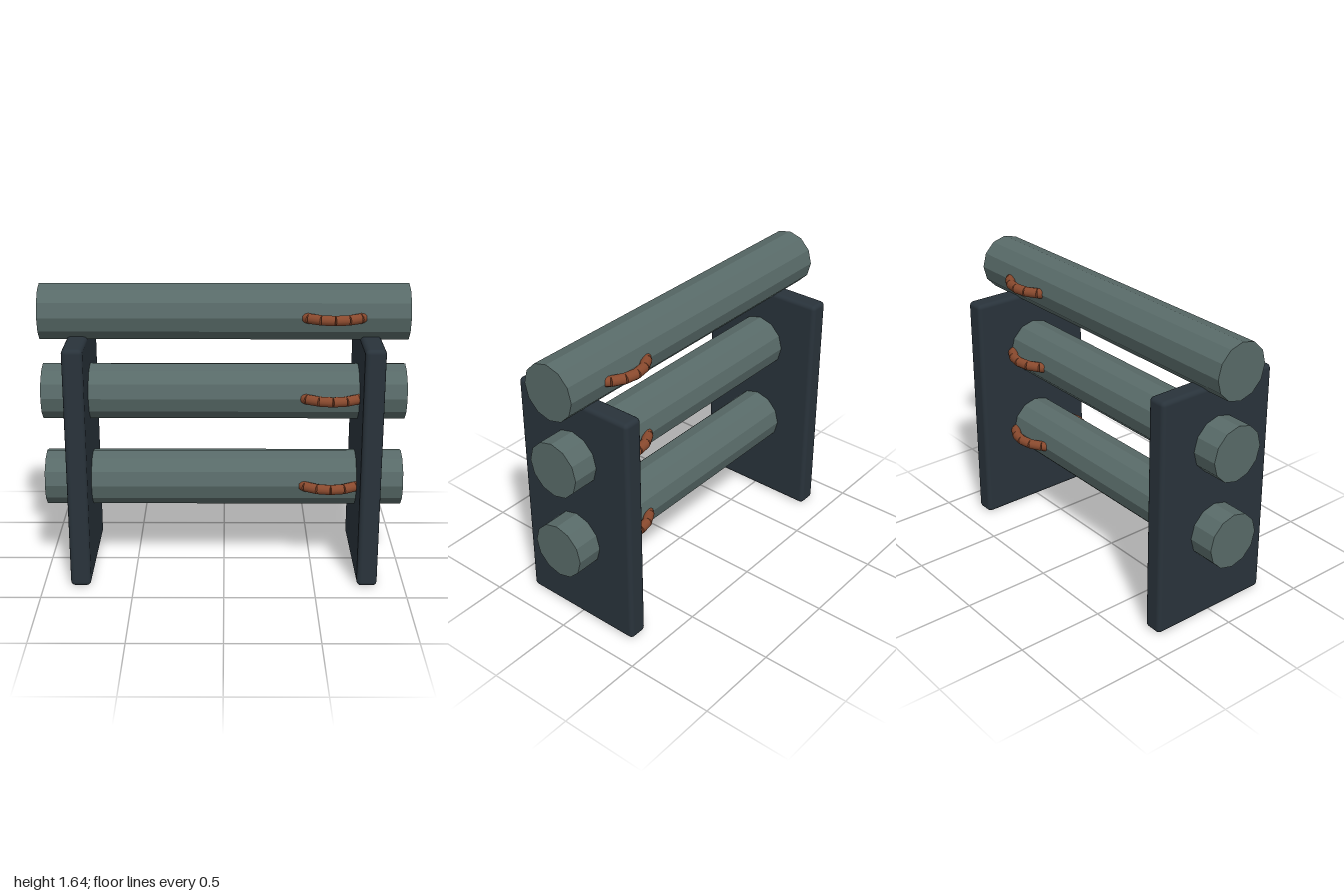
import * as THREE from 'three';
import { RoundedBoxGeometry } from 'three/addons/geometries/RoundedBoxGeometry.js';

const barMaterial = new THREE.MeshStandardMaterial({ color: 0x586a68, flatShading: true });
const panelMaterial = new THREE.MeshStandardMaterial({ color: 0x29333b });
const bandMaterial = new THREE.MeshStandardMaterial({ color: 0x8a4a2e });

function addMesh(parent, name, geometry, material) {
  const mesh = new THREE.Mesh(geometry, material);
  mesh.name = name;
  parent.add(mesh);
  return mesh;
}

// Horizontal ring of short straight links around a bar
function createBand(radius, thickness, count) {
  const band = new THREE.Group();
  band.name = 'band';
  const link = new THREE.CylinderGeometry(thickness, thickness, 0.073, 12);
  link.rotateZ(Math.PI / 2);
  for (let i = 0; i < count; i++) {
    const angle = ((i + 0.5) / count) * Math.PI * 2;
    const mesh = addMesh(band, 'bandLink', link, bandMaterial);
    mesh.position.set(Math.sin(angle) * radius, 0, Math.cos(angle) * radius);
    mesh.rotation.y = angle;
  }
  return band;
}

export function createModel() {
  const model = new THREE.Group();
  model.name = 'barrier';

  // Upright end panels
  const panel = new RoundedBoxGeometry(0.112, 1.364, 0.736, 2, 0.025);
  for (const [side, name] of [[1, 'leftPanel'], [-1, 'rightPanel']]) {
    addMesh(model, name, panel, panelMaterial).position.set(side * 0.795, 0.682, 0);
  }

  // Twelve-sided bars, each with a band near the left panel
  const bar = new THREE.CylinderGeometry(0.157, 0.157, 2, 12);
  bar.rotateZ(Math.PI / 2);
  const bars = [['lowerBar', 0.515], ['middleBar', 1.027], ['topBar', 1.48]];
  for (const [name, y] of bars) {
    addMesh(model, name, bar, barMaterial).position.y = y;
    const band = createBand(0.205, 0.028, 18);
    band.position.set(0.59, y, 0);
    model.add(band);
  }

  return model;
}
